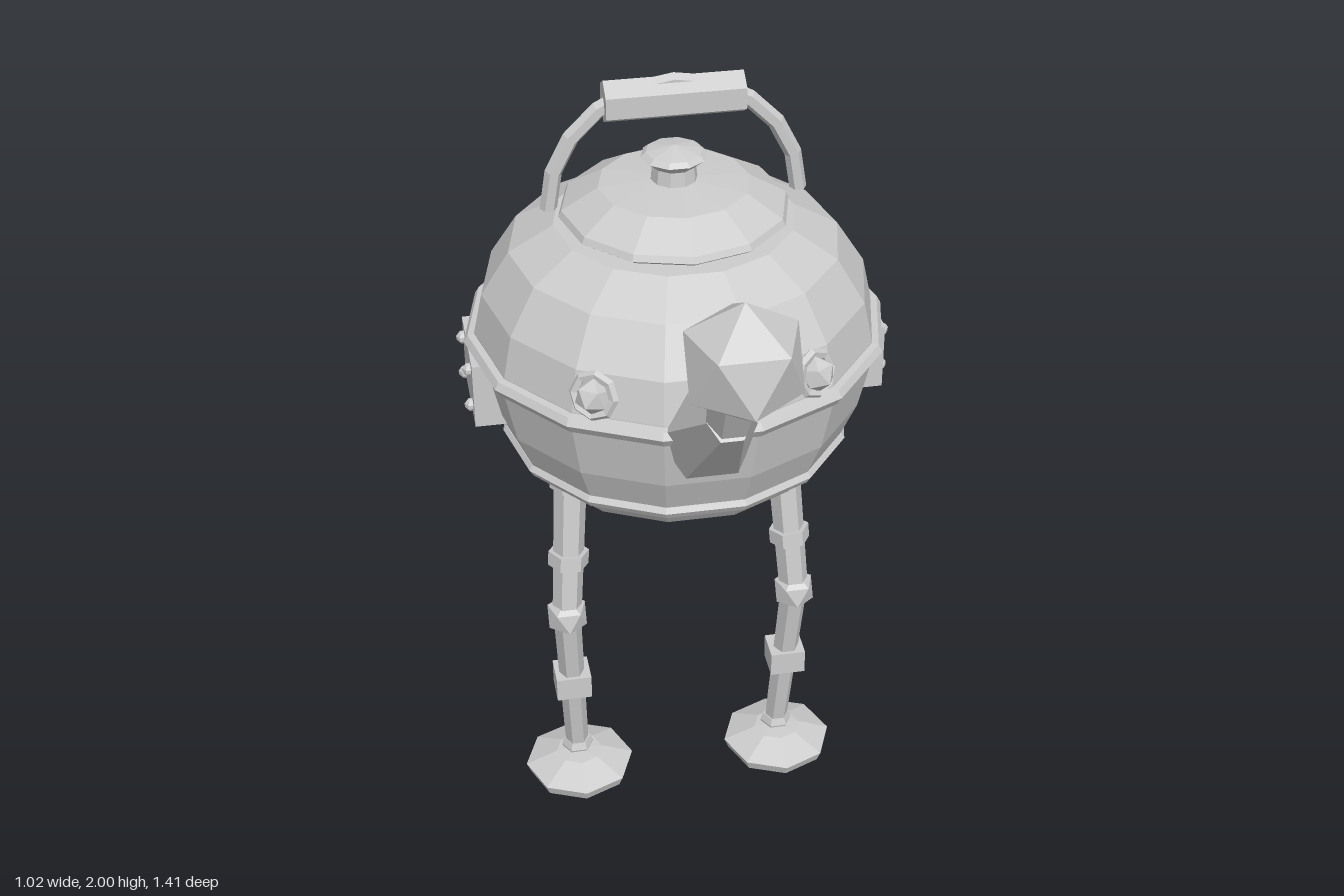
import * as THREE from 'three';

const metal = new THREE.MeshStandardMaterial({ color: 0xcccccc, flatShading: true });
metal.name = 'plain grey';
const V = (x, y, z) => new THREE.Vector3(x, y, z);
const CZ = -0.213; // centre of the pot along z

export function createModel() {
  const model = new THREE.Group();

  function add(name, geometry, x = 0, y = 0, z = 0, parent = model) {
    const mesh = new THREE.Mesh(geometry, metal);
    mesh.name = name;
    mesh.position.set(x, y, z);
    parent.add(mesh);
    return mesh;
  }
  // turned part, profile listed from bottom to top as [radius, y]
  function turned(name, profile, sides, x = 0, z = CZ, parent = model) {
    const pts = profile.map(([r, y]) => new THREE.Vector2(r, y));
    return add(name, new THREE.LatheGeometry(pts, sides, Math.PI / 2), x, 0, z, parent);
  }
  // straight six-sided rod between two points
  function rod(name, a, b, ra, rb, parent = model) {
    const geo = new THREE.CylinderGeometry(rb, ra, a.distanceTo(b), 6, 1, false, Math.PI / 6);
    const mid = a.clone().lerp(b, 0.5);
    const mesh = add(name, geo, mid.x, mid.y, mid.z, parent);
    mesh.quaternion.setFromUnitVectors(V(0, 1, 0), b.clone().sub(a).normalize());
    return mesh;
  }
  // icosahedron standing on a corner
  function ball(name, r, x, y, z, parent = model) {
    const geo = new THREE.IcosahedronGeometry(r, 0);
    geo.rotateZ(-Math.atan(2 / (1 + Math.sqrt(5)))).rotateY(Math.PI / 2);
    return add(name, geo, x, y, z, parent);
  }

  // pot with its two rims
  turned('potBody', [[0, 1.025], [0.354, 1.03], [0.405, 1.1], [0.447, 1.2], [0.476, 1.33],
    [0.474, 1.38], [0.452, 1.48], [0.385, 1.585], [0.28, 1.645], [0, 1.65]], 14);
  turned('middleRim', [[0.46, 1.335], [0.485, 1.335], [0.5, 1.358], [0.49, 1.375], [0.46, 1.38]], 14);
  turned('bottomRim', [[0.385, 1.083], [0.41, 1.083], [0.42, 1.1], [0.412, 1.113], [0.385, 1.116]], 14);

  // lid and knob
  turned('lid', [[0.22, 1.64], [0.25, 1.653], [0.267, 1.665], [0.26, 1.68], [0.175, 1.73], [0, 1.745]], 12);
  turned('lidKnob', [[0.055, 1.73], [0.05, 1.775], [0.077, 1.798], [0.065, 1.808], [0, 1.822]], 10);

  // handle arch and grip
  add('handleArch', new THREE.TorusGeometry(0.288, 0.02, 6, 10, Math.PI), 0, 1.69, CZ);
  // open ends of the arch
  for (const s of [-1, 1]) {
    add('archEnd', new THREE.CircleGeometry(0.02, 6).rotateX(Math.PI / 2), s * 0.288, 1.69, CZ);
  }
  const grip = new THREE.CylinderGeometry(0.05, 0.05, 0.315, 6, 1, false, Math.PI / 2);
  grip.rotateZ(Math.PI / 2);
  add('handleGrip', grip, 0, 1.941, CZ);

  // spout in two lengths, with a faceted stopper
  rod('lowerSpout', V(0, 1.325, 0.2), V(0, 1.52, 0.455), 0.118, 0.05);
  rod('upperSpout', V(0, 1.525, 0.455), V(0, 1.72, 0.55), 0.052, 0.062);
  ball('spoutStopper', 0.137, 0, 1.748, 0.585);

  // three studs around the front
  for (const a of [-0.567, 0, 0.567]) {
    const stud = new THREE.Group();
    stud.name = 'frontStud';
    stud.position.set(0.462 * Math.sin(a), 1.432, CZ + 0.462 * Math.cos(a));
    stud.rotation.order = 'YXZ';
    stud.rotation.set(-0.25, a, 0);
    model.add(stud);
    add('studRing', new THREE.TorusGeometry(0.048, 0.012, 5, 8), 0, 0, 0, stud);
    ball('studGem', 0.043, 0, 0, 0.005, stud);
  }

  for (const s of [-1, 1]) {
    const side = s > 0 ? 'left' : 'right';

    // bolted side plate
    add(side + 'Plate', new THREE.BoxGeometry(0.08, 0.165, 0.228), s * 0.451, 1.257, -0.241);
    for (const y of [1.21, 1.308]) {
      for (const z of [-0.314, -0.17]) {
        add(side + 'Bolt', new THREE.SphereGeometry(0.016, 6, 5), s * 0.495, y, z);
      }
    }

    // leg
    const leg = new THREE.Group();
    leg.name = side + 'Leg';
    model.add(leg);
    const hip = V(s * 0.257, 1.07, -0.203);
    const knee = V(s * 0.293, 0.57, -0.137);
    const ankle = V(s * 0.272, 0.07, -0.208);
    rod('thigh', knee, hip, 0.037, 0.042, leg);
    rod('shin', ankle, knee, 0.03, 0.035, leg);
    ball('knee', 0.056, knee.x, knee.y, knee.z, leg);
    const along = hip.clone().sub(knee).normalize().multiplyScalar(0.019);
    for (const t of [0.33, 0.76]) {
      const p = knee.clone().lerp(hip, t);
      rod('thighBand', p.clone().sub(along), p.clone().add(along), 0.051, 0.051, leg);
    }
    const cuff = ankle.clone().lerp(knee, 0.51);
    add('shinCuff', new THREE.BoxGeometry(0.09, 0.066, 0.085), cuff.x, cuff.y, cuff.z, leg);
    turned('ankle', [[0.035, 0.05], [0.042, 0.07], [0.034, 0.09], [0, 0.093]], 6, ankle.x, ankle.z, leg);
    turned('foot', [[0, 0], [0.132, 0], [0.143, 0.028], [0.06, 0.062], [0, 0.066]], 8, s * 0.27, -0.19, leg);
  }
  return model;
}
